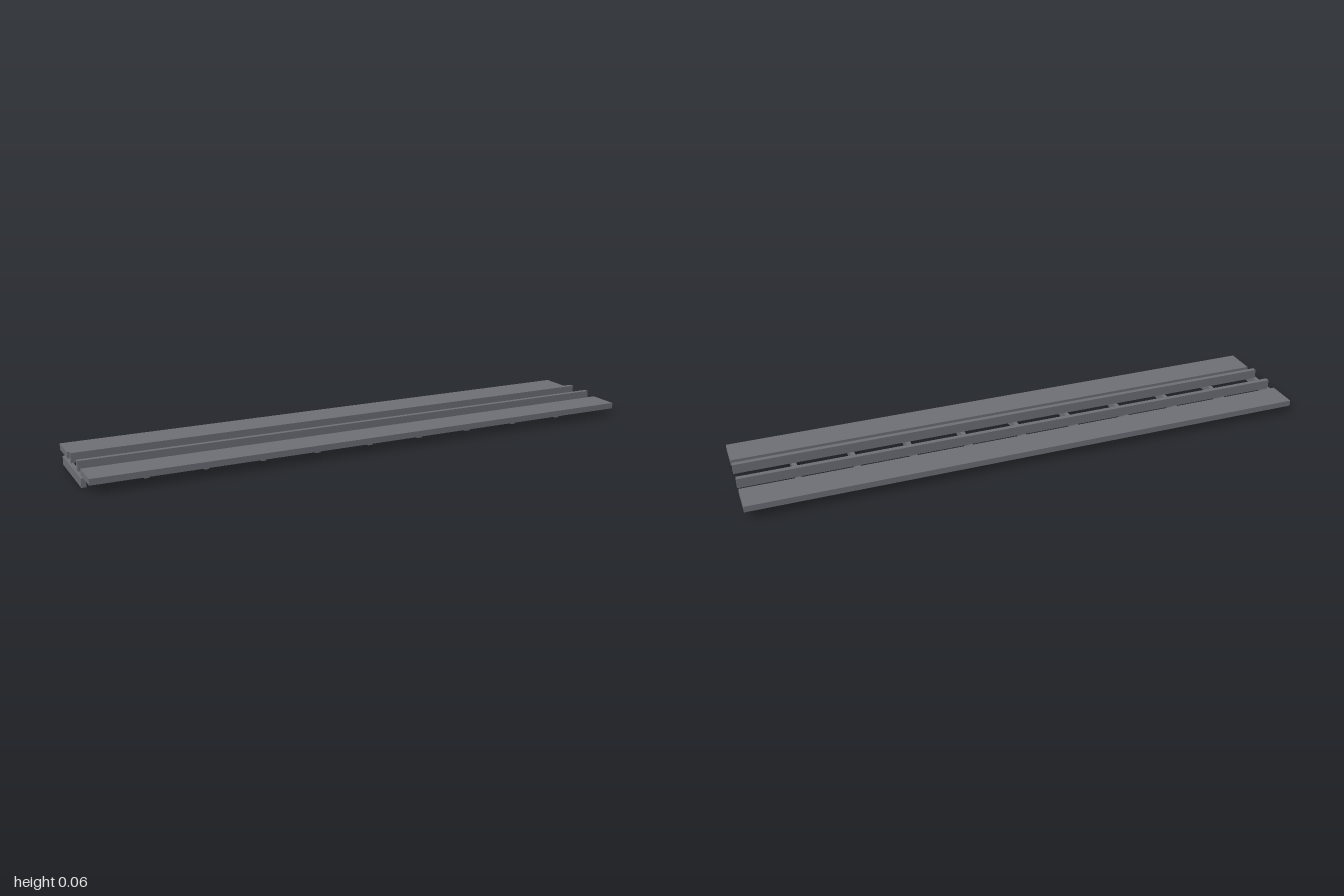
import * as THREE from 'three';

export function createModel() {
  const model = new THREE.Group();
  model.name = 'railTrack';
  const steel = new THREE.MeshStandardMaterial({ color: 0x6e7077 });
  steel.name = 'steel grey';

  // Box given by its extents along each axis
  function addBar(name, [x0, x1], [y0, y1], [z0, z1]) {
    const mesh = new THREE.Mesh(new THREE.BoxGeometry(x1 - x0, y1 - y0, z1 - z0), steel);
    mesh.position.set((x0 + x1) / 2, (y0 + y1) / 2, (z0 + z1) / 2);
    mesh.name = name;
    model.add(mesh);
  }

  const length = [-0.992, 1];
  const sleeperTop = 0.03;

  // Rails and side walkways, mirrored across the track
  for (const [side, s] of [['front', 1], ['back', -1]]) {
    const span = (a, b) => (s > 0 ? [a, b] : [-b, -a]);
    addBar(side + 'Rail', length, [sleeperTop, 0.064], span(0.038, 0.055));
    addBar(side + 'Walkway', length, [sleeperTop, 0.051], span(0.094, 0.205));
  }

  // Evenly spaced sleepers, the first one under the rail ends
  for (let i = 0; i < 10; i++) {
    const x = -0.992 + i * 0.199;
    addBar('sleeper' + (i + 1), [x - 0.008, x + 0.008], [0, sleeperTop], [-0.129, 0.129]);
  }
  return model;
}
